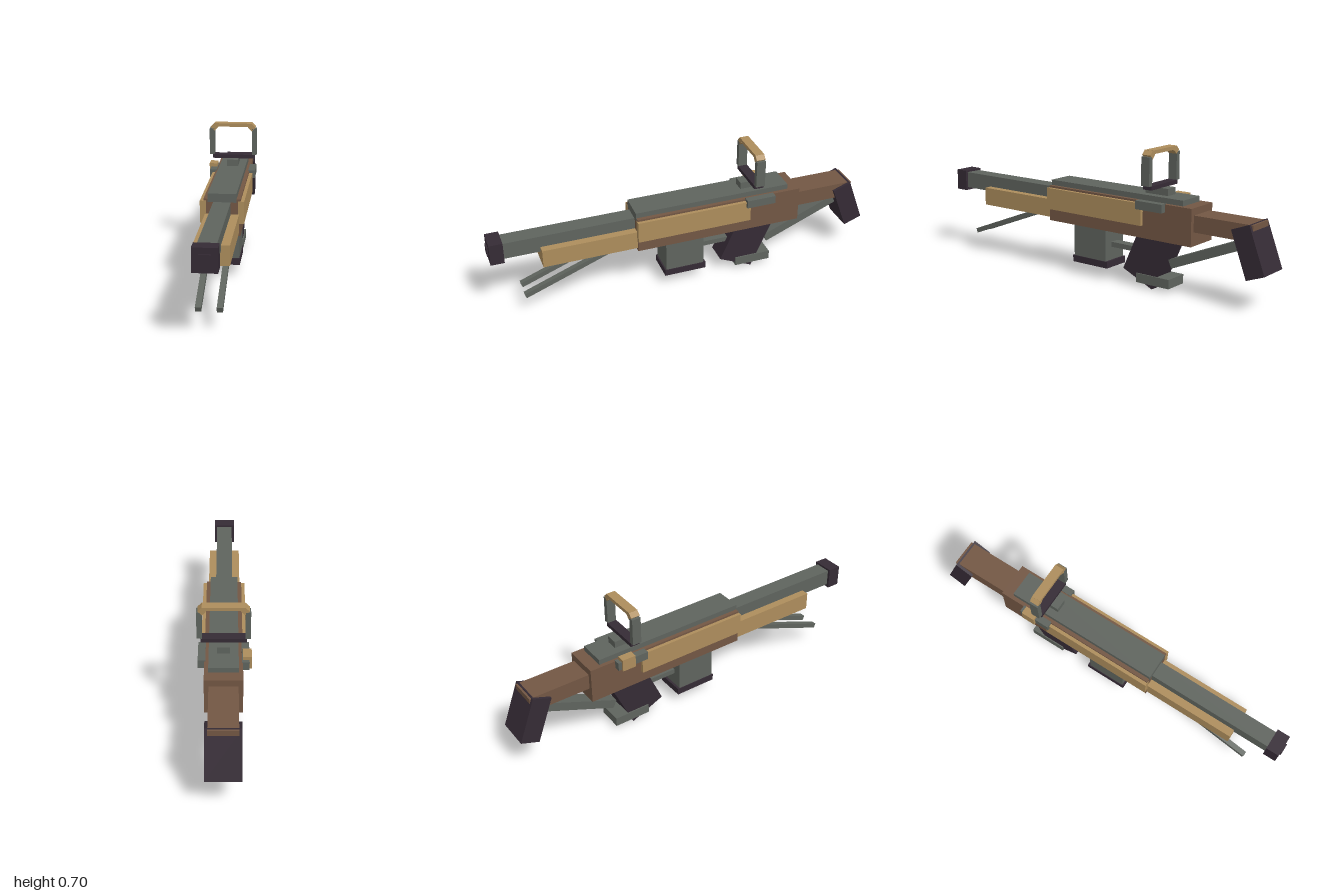
import * as THREE from 'three';

const mat = (name, color) => {
  const m = new THREE.MeshStandardMaterial({ color });
  m.name = name;
  return m;
};

export function createModel() {
  const tan = mat('tan', 0xad8d5c);
  const brown = mat('brown', 0x735744);
  const gray = mat('gray', 0x5f645e);
  const dark = mat('dark', 0x352b35);

  const model = new THREE.Group();
  model.name = 'blockRifle';
  const CX = 0.0015; // centre line

  const add = (name, material, w, h, d, x, y, z) => {
    const mesh = new THREE.Mesh(new THREE.BoxGeometry(w, h, d), material);
    mesh.name = name;
    mesh.position.set(x, y, z);
    model.add(mesh);
    return mesh;
  };
  // Upright block given by its height and depth limits
  const block = (name, material, w, y0, y1, z0, z1, x = CX) =>
    add(name, material, w, y1 - y0, z1 - z0, x, (y0 + y1) / 2, (z0 + z1) / 2);
  // Square-ended bar running between two [y, z] points
  const bar = (name, material, w, t, [ya, za], [yb, zb], x = CX) => {
    const len = Math.hypot(yb - ya, zb - za);
    const mesh = add(name, material, w, t, len, x, (ya + yb) / 2, (za + zb) / 2);
    mesh.rotation.x = Math.atan2(ya - yb, zb - za);
  };

  // Body
  block('receiver', brown, 0.18, 0.262, 0.446, -0.61, 0.266);
  block('topCover', gray, 0.14, 0.43, 0.473, -0.55, 0.268);
  block('handguard', tan, 0.165, 0.277, 0.371, 0.2, 0.746);

  // Barrel and muzzle
  block('barrel', gray, 0.085, 0.345, 0.431, 0.2, 0.95);
  block('muzzle', dark, 0.112, 0.33, 0.441, 0.925, 0.993);
  block('muzzleBore', dark, 0.05, 0.361, 0.412, 0.96, 1.0);

  // Magazine, guard, grip
  block('magazine', gray, 0.144, 0.09, 0.3, -0.09, 0.113);
  block('magazineBase', dark, 0.152, 0.062, 0.096, -0.102, 0.12);
  block('triggerGuard', gray, 0.05, 0.164, 0.19, -0.27, -0.05);
  add('grip', dark, 0.116, 0.32, 0.192, CX, 0.186, -0.345).rotation.x = -0.42;
  block('gripFoot', gray, 0.128, 0.023, 0.07, -0.47, -0.277);

  // Stock
  block('stock', brown, 0.137, 0.33, 0.411, -0.924, -0.58);
  add('buttPad', dark, 0.166, 0.241, 0.1, CX, 0.284, -0.908).rotation.x = 0.36;
  bar('stockStrut', gray, 0.07, 0.045, [0.14, -0.456], [0.32, -0.89]);

  // Carry sight
  block('sightBase', gray, 0.06, 0.46, 0.508, -0.437, -0.304);
  block('sightLowerBar', dark, 0.217, 0.507, 0.527, -0.395, -0.346);
  block('sightTopBar', tan, 0.2, 0.679, 0.697, -0.394, -0.347);

  // Mirrored parts
  for (const s of [-1, 1]) {
    block('sidePanel', tan, 0.03, 0.325, 0.436, -0.332, 0.268, CX + s * 0.0925);
    block('sightPost', gray, 0.025, 0.527, 0.668, -0.394, -0.347, CX + s * 0.114);
    add('sightCorner', tan, 0.029, 0.028, 0.047, CX + s * 0.1, 0.676, -0.3705).rotation.z = s * Math.PI / 4;
    bar('bipodLeg', gray, 0.027, 0.025, [0.31, 0.32], [0.109, 0.844], CX + s * 0.0475);
    block('sideLug', gray, 0.036, 0.408, 0.45, s < 0 ? -0.475 : -0.462, -0.308, CX + s * 0.103);
  }

  // Handle around the lug on one side
  block('chargingHandle', tan, 0.042, 0.403, 0.467, -0.457, -0.385, -0.109);

  return model;
}
